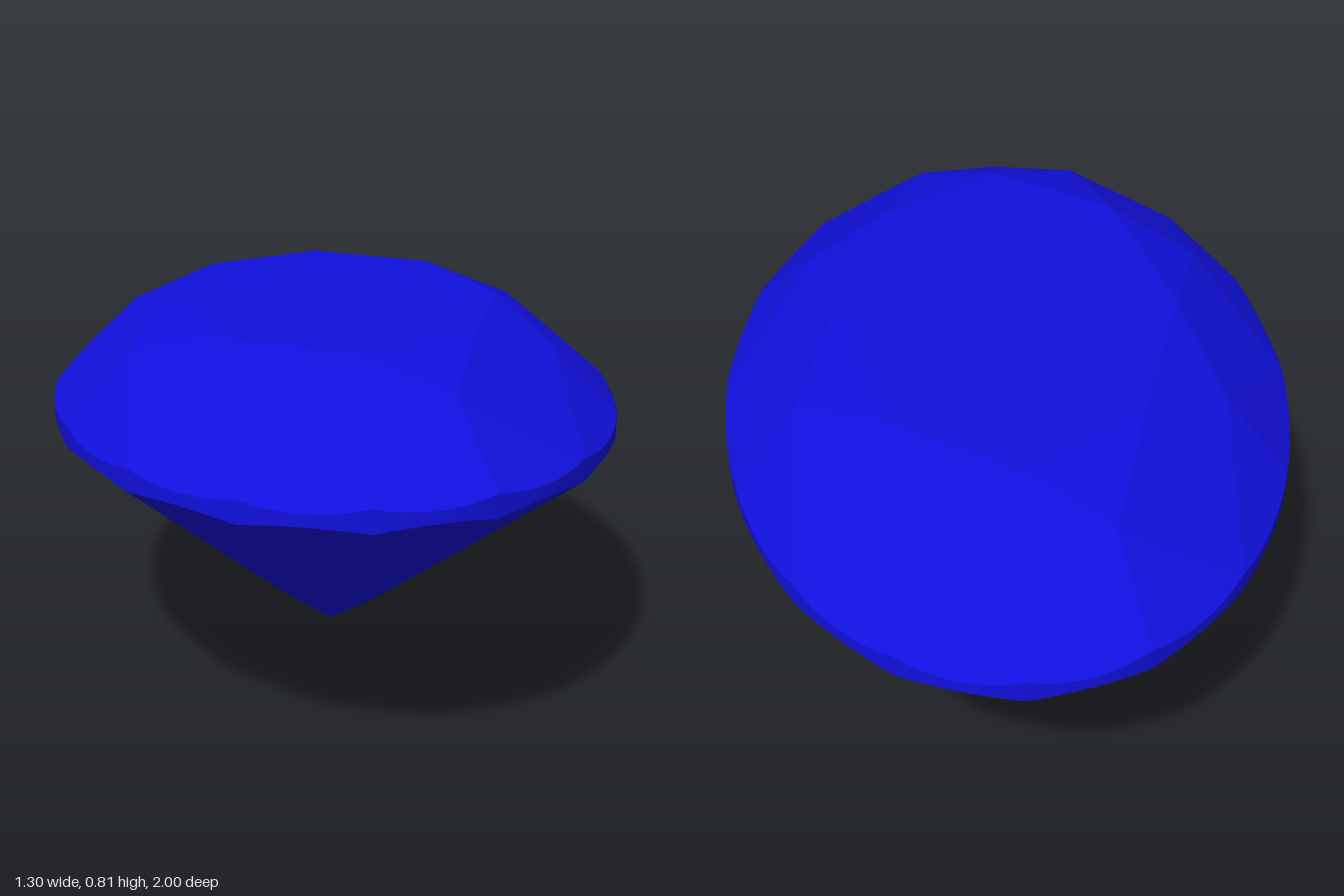
import * as THREE from 'three';

const WIDTH = 0.65;            // oval: circle squeezed along x
const ARC = 8;                 // girdle segments per half facet
const STEP = Math.PI / 8;      // 16 steps around the stone
const CENTRE = new THREE.Vector3(0, 0.5, 0);

// point at a given step around the stone, radius and height
const at = (step, r, y) =>
  new THREE.Vector3(Math.sin(step * STEP) * r * WIDTH, y, Math.cos(step * STEP) * r);

const tablePt = k => at(k, 0.6, 0.815);
const starPt = k => at(k, 0.78, 0.756);
const upperRim = k => at(k, 1, 0.617);
const lowerRim = k => at(k, 1, 0.567);
const lowerPt = k => at(k, 0.22, 0.115);
const culet = at(0, 0, 0);

// rim points from step k to k + 1, lying in the plane of a half facet
function rimArc(k, rim, apex) {
  const plane = new THREE.Plane().setFromCoplanarPoints(apex, rim(k), rim(k + 1));
  return Array.from({ length: ARC + 1 }, (_, i) => {
    const p = at(k + i / ARC, 1, 0);
    p.y = -(plane.constant + plane.normal.x * p.x + plane.normal.z * p.z) / plane.normal.y;
    return p;
  });
}

// flat-shaded mesh from convex polygons, each turned to face outward
function facetMesh(name, polygons, material) {
  const points = [];
  for (const poly of polygons) {
    for (let i = 1; i < poly.length - 1; i++) {
      const [a, b, c] = [poly[0], poly[i], poly[i + 1]];
      const n = b.clone().sub(a).cross(c.clone().sub(a));
      const outward = n.dot(a.clone().sub(CENTRE)) > 0;
      points.push(a, ...(outward ? [b, c] : [c, b]));
    }
  }
  const geometry = new THREE.BufferGeometry().setFromPoints(points);
  geometry.computeVertexNormals();
  const mesh = new THREE.Mesh(geometry, material);
  mesh.name = name;
  return mesh;
}

export function createModel() {
  const material = new THREE.MeshStandardMaterial({ color: 0x1010dd, flatShading: true });
  const table = [], stars = [], crownMains = [], upperHalves = [];
  const girdle = [], lowerHalves = [], pavilionMains = [];

  // eight-fold facets: table corners at even steps, star points at odd steps
  for (let k = 0; k < 16; k += 2) {
    table.push(tablePt(k));
    stars.push([tablePt(k), starPt(k + 1), tablePt(k + 2)]);
    crownMains.push([tablePt(k), starPt(k - 1), upperRim(k), starPt(k + 1)]);
    pavilionMains.push([culet, lowerPt(k), lowerRim(k + 1), lowerPt(k + 2)]);
  }

  // sixteen half facets above and below, with the scalloped girdle between
  for (let k = 0; k < 16; k++) {
    const odd = k % 2 ? k : k + 1;
    const even = k % 2 ? k + 1 : k;
    const top = rimArc(k, upperRim, starPt(odd));
    const bottom = rimArc(k, lowerRim, lowerPt(even));
    upperHalves.push([starPt(odd), ...top]);
    lowerHalves.push([lowerPt(even), ...bottom]);
    for (let i = 0; i < ARC; i++) {
      girdle.push([bottom[i], bottom[i + 1], top[i + 1], top[i]]);
    }
  }

  const gem = new THREE.Group();
  gem.name = 'ovalGem';
  const parts = {
    table: [table], starFacets: stars, crownMainFacets: crownMains, upperHalfFacets: upperHalves,
    girdle, lowerHalfFacets: lowerHalves, pavilionMainFacets: pavilionMains,
  };
  for (const [name, polygons] of Object.entries(parts)) {
    gem.add(facetMesh(name, polygons, material));
  }
  return gem;
}
